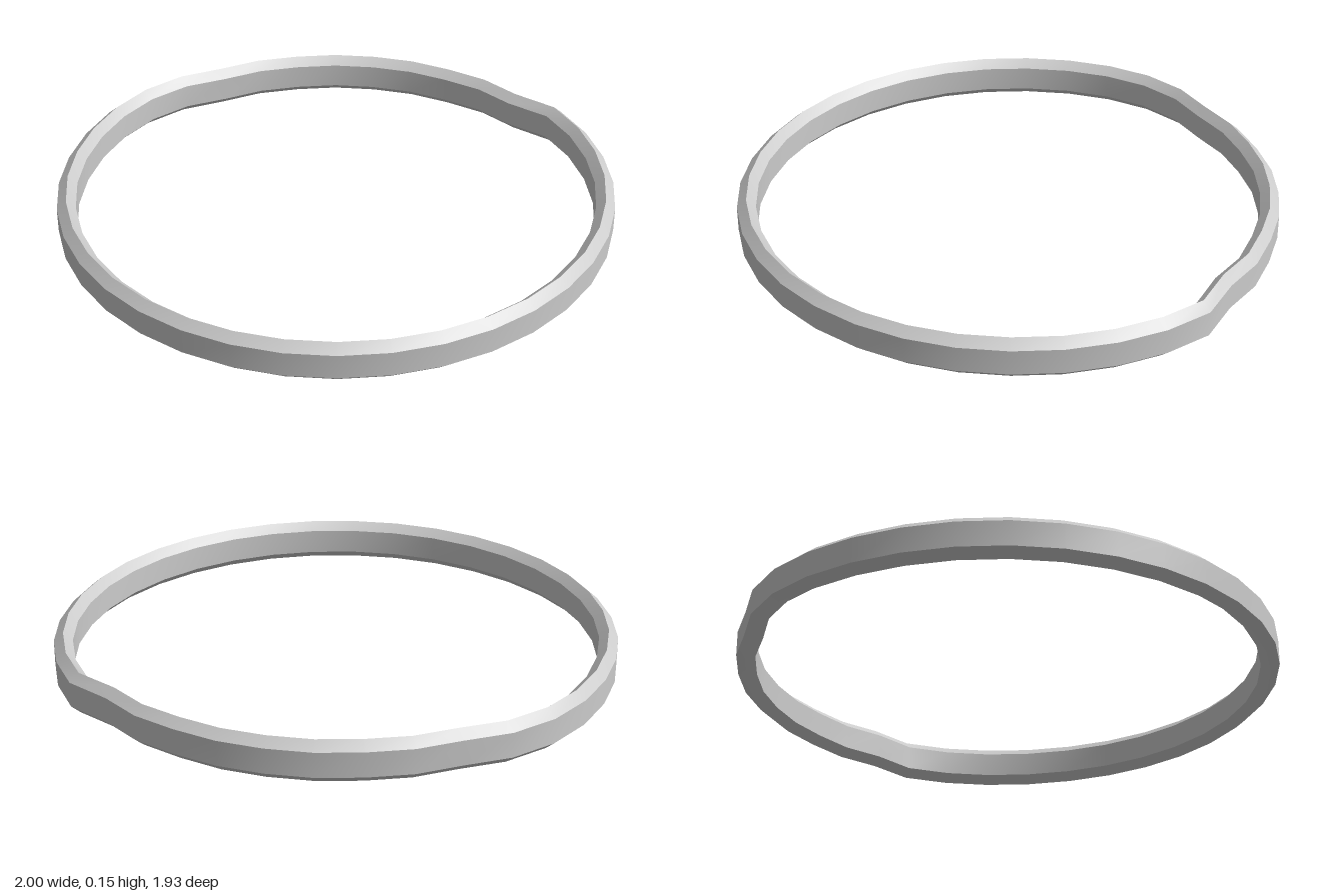
import * as THREE from 'three';

// Radius every 10 degrees, starting at the back (-z) and turning towards +x.
const rightHalf = [0.925, 0.927, 0.927, 0.938, 0.938, 0.995, 1.0, 1.0, 1.0];
const leftHalf = [0.927, 0.927, 0.935, 0.937, 0.975, 0.995, 1.0, 1.0];
const SIDES = 36;
const CENTRE_Z = -0.045;

function radiusAt(i) {
  if (i < 9) return rightHalf[i];
  if (i > 27) return leftHalf[SIDES - i - 1];
  // the front half swells very slightly
  return 1 + 0.01 * Math.sin(((i - 9) / 18) * Math.PI);
}

// Hexagonal band section: [inset from the outline, height]
const section = [
  [0, 0.03], [0, 0.12], [0.034, 0.15],
  [0.067, 0.12], [0.067, 0.03], [0.034, 0],
];

function bandGeometry() {
  const positions = [];
  const index = [];
  // Each strip has its own vertices: smooth around the ring, sharp between strips.
  section.forEach((low, s) => {
    const high = section[(s + 1) % section.length];
    const base = positions.length / 3;
    for (let i = 0; i < SIDES; i++) {
      const a = (i / SIDES) * Math.PI * 2;
      for (const [inset, y] of [low, high]) {
        const r = radiusAt(i) - inset;
        positions.push(Math.sin(a) * r, y, CENTRE_Z - Math.cos(a) * r);
      }
      const p = base + i * 2;
      const q = base + ((i + 1) % SIDES) * 2;
      index.push(p, p + 1, q, q, p + 1, q + 1);
    }
  });
  const geometry = new THREE.BufferGeometry();
  geometry.setAttribute('position', new THREE.Float32BufferAttribute(positions, 3));
  geometry.setIndex(index);
  geometry.computeVertexNormals();
  return geometry;
}

export function createModel() {
  const group = new THREE.Group();
  group.name = 'ring';
  const band = new THREE.Mesh(
    bandGeometry(),
    new THREE.MeshStandardMaterial({ color: 0xcccccc }),
  );
  band.name = 'band';
  group.add(band);
  return group;
}
